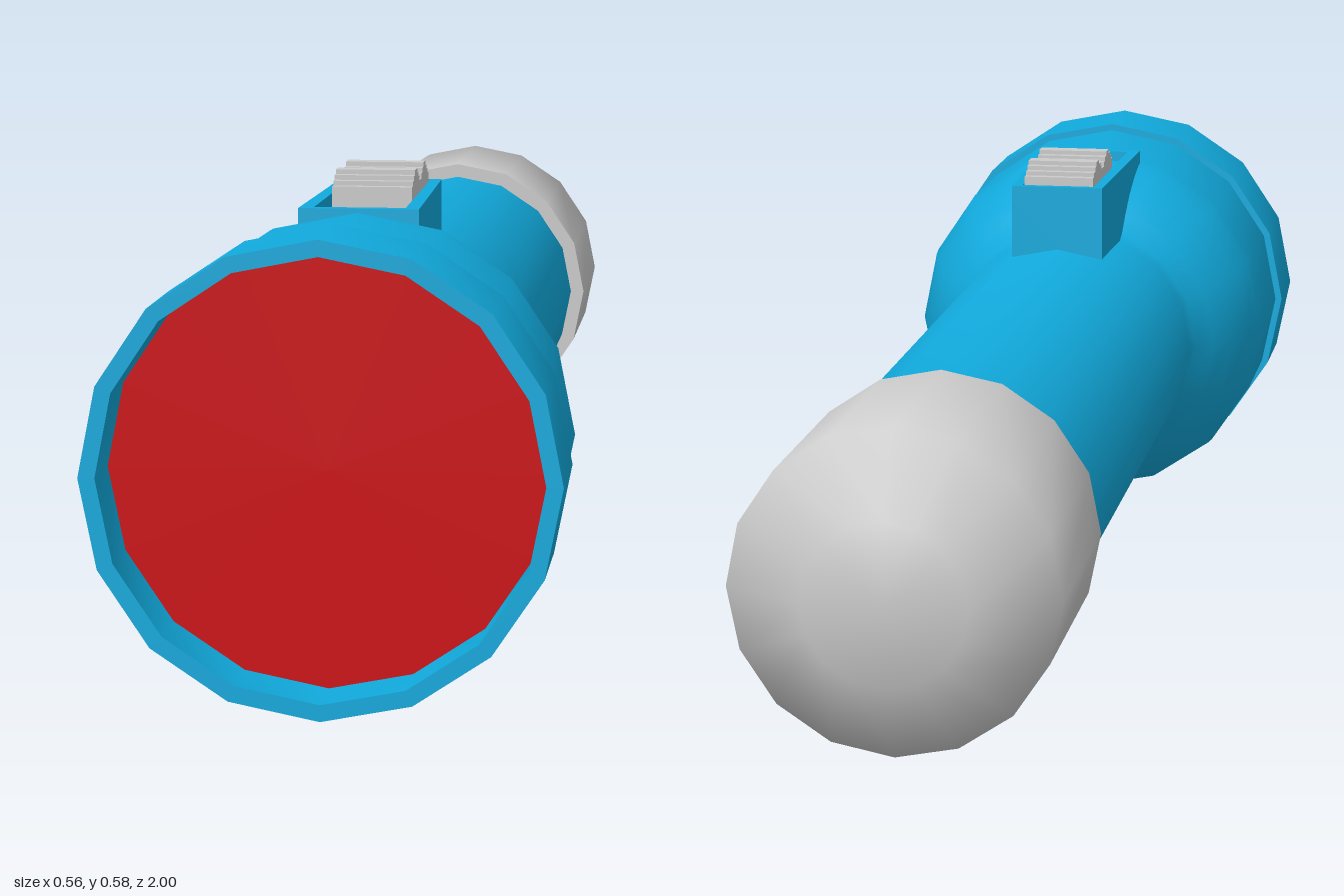
import * as THREE from 'three';
import { toCreasedNormals } from 'three/addons/utils/BufferGeometryUtils.js';

const AXIS_Y = 0.281;
const SIDES = 16;

const blue = new THREE.MeshStandardMaterial({ color: 0x11aadd });
const red = new THREE.MeshStandardMaterial({ color: 0xcc0a11 });
const grey = new THREE.MeshStandardMaterial({ color: 0xcccccc });

function part(name, geometry, material) {
  const mesh = new THREE.Mesh(geometry, material);
  mesh.name = name;
  return mesh;
}

// Turned part along z; profile is [radius, z] from back to front
function turned(name, profile, material, crease = 0.6) {
  const points = profile.map(([r, z]) => new THREE.Vector2(r, z));
  const geometry = new THREE.LatheGeometry(points, SIDES).rotateX(Math.PI / 2);
  const mesh = part(name, toCreasedNormals(geometry, crease), material);
  mesh.position.y = AXIS_Y;
  return mesh;
}

// Outline in (x, z), slightly wider towards the front
function outline(Type, backHalf, frontHalf, z0, z1) {
  return new Type([
    [-backHalf, z0], [backHalf, z0], [frontHalf, z1], [-frontHalf, z1],
  ].map(([x, z]) => new THREE.Vector2(x, z)));
}

// Extrudes an (x, z) outline downwards from a given height
function slab(shape, top, depth) {
  return new THREE.ExtrudeGeometry(shape, { depth, bevelEnabled: false })
    .rotateX(Math.PI / 2).translate(0, top, 0);
}

function createSwitch() {
  const group = new THREE.Group();
  group.name = 'switch';

  // Housing: a raised rim with an open slot above a solid base
  const rim = outline(THREE.Shape, 0.067, 0.075, 0.275, 0.63);
  rim.holes.push(outline(THREE.Path, 0.053, 0.057, 0.287, 0.615));
  group.add(part('switchRim', slab(rim, 0.554, 0.02), blue));
  const base = outline(THREE.Shape, 0.067, 0.075, 0.275, 0.63);
  group.add(part('switchBase', slab(base, 0.534, 0.13), blue));

  // Thumb slider: two stepped ridges
  const slider = new THREE.Shape();
  const steps = 4, run = 0.05 / steps, rise = 0.006;
  let z = 0.29, y = 0.566;
  slider.moveTo(z, 0.53);
  slider.lineTo(z, y);
  for (let ridge = 0; ridge < 2; ridge++) {
    for (const dir of [1, -1]) {
      for (let i = 0; i < steps; i++) {
        z += run;
        slider.lineTo(z, y);
        if (i < steps - 1) slider.lineTo(z, y += dir * rise);
      }
    }
  }
  slider.lineTo(z, 0.53);
  const geometry = new THREE.ExtrudeGeometry(slider, { depth: 0.102, bevelEnabled: false })
    .rotateY(-Math.PI / 2).translate(0.051, 0, 0);
  group.add(part('slider', geometry, grey));
  return group;
}

export function createModel() {
  const model = new THREE.Group();
  model.name = 'flashlight';

  // Barrel flaring into the head
  model.add(turned('body', [
    [0.18, -0.66], [0.18, 0.44], [0.187, 0.46], [0.21, 0.49], [0.235, 0.53],
    [0.256, 0.58], [0.267, 0.62], [0.27, 0.65], [0.27, 0.86],
  ], blue));

  // Bezel ring with its inner wall
  model.add(turned('bezel', [
    [0.265, 0.85], [0.28, 0.85], [0.28, 1], [0.26, 1], [0.26, 0.91],
  ], blue));

  // Recessed lens
  model.add(turned('lens', [[0.26, 0.92], [0, 0.92]], red));

  // Rounded tail cap
  model.add(turned('tailCap', [
    [0, -1], [0.1, -1], [0.2, -0.943], [0.2, -0.64], [0.175, -0.64],
  ], grey, 1.2));

  model.add(createSwitch());
  return model;
}
